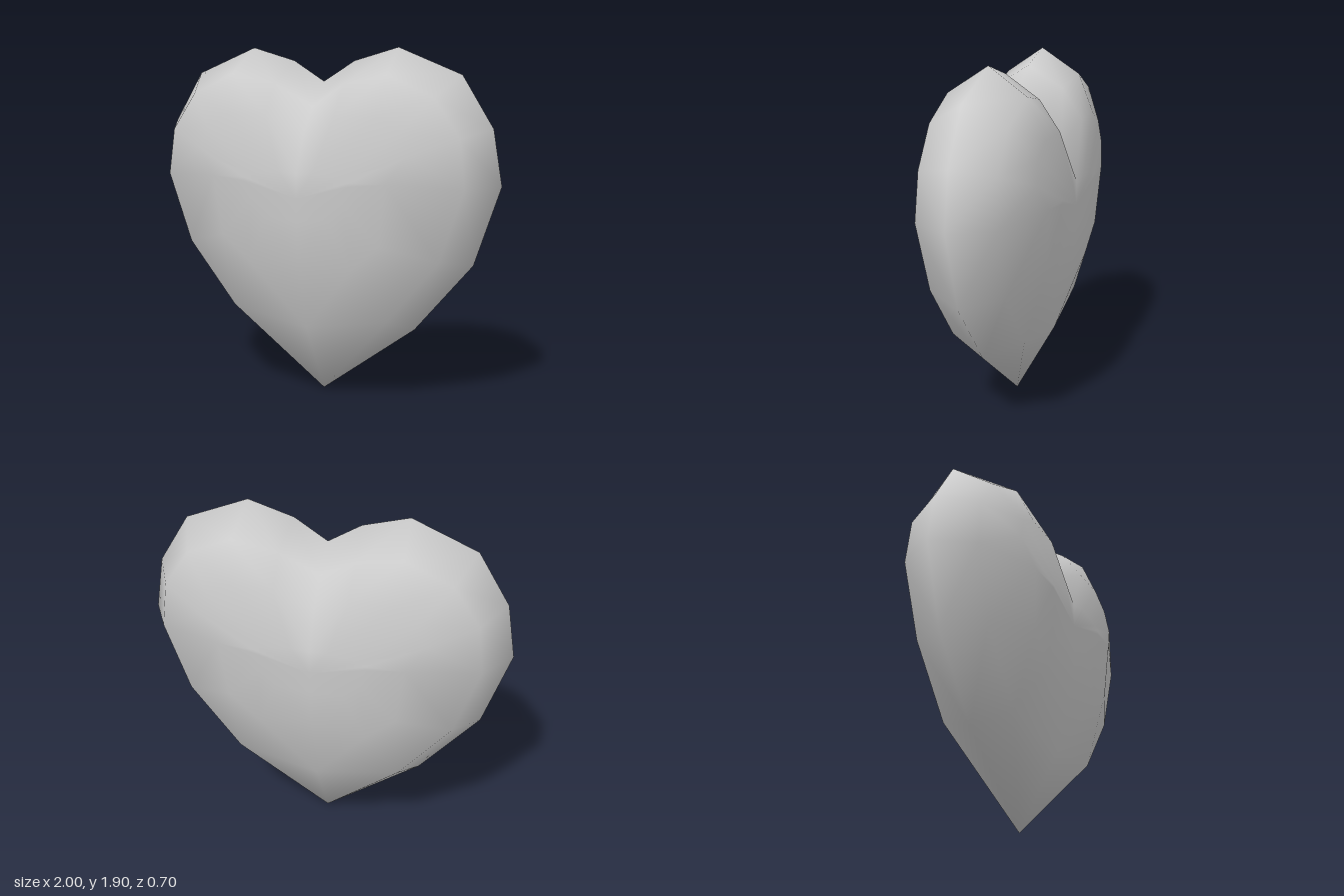
import * as THREE from 'three';

// Half-contours [x, y, z] on the +x side, from the notch round to the tip.
const outline = [
  [0, 1.72, 0], [0.18, 1.83, 0], [0.43, 1.9, 0], [0.78, 1.76, 0], [0.95, 1.49, 0],
  [1, 1.2, 0], [0.86, 0.78, 0], [0.54, 0.4, 0], [0, 0, 0],
];
const shoulder = [
  [0, 1.59, 0.14], [0.2, 1.71, 0.19], [0.45, 1.76, 0.21], [0.7, 1.65, 0.2], [0.84, 1.45, 0.2],
  [0.87, 1.2, 0.21], [0.74, 0.82, 0.2], [0.46, 0.48, 0.2], [0, 0.4, 0.22],
];
const cheek = [
  [0, 1.45, 0.25], [0.2, 1.55, 0.3], [0.43, 1.55, 0.3], [0.56, 1.48, 0.3], [0.6, 1.36, 0.31],
  [0.5, 1.22, 0.34], [0.46, 0.9, 0.32], [0.3, 0.76, 0.31], [0, 0.8, 0.32],
];
const crown = [
  [0, 1.25, 0.335], [0.1, 1.26, 0.345], [0.2, 1.25, 0.35], [0.27, 1.24, 0.35], [0.3, 1.22, 0.35],
  [0.3, 1.2, 0.35], [0.27, 1.1, 0.345], [0.18, 1.02, 0.34], [0, 1, 0.335],
];

// Mirror a half-contour across x = 0 into a closed loop of 16 points.
function closeLoop(half) {
  const left = half.slice(1, -1).reverse().map(([x, y, z]) => [-x, y, z]);
  return [...half, ...left];
}

function heartGeometry() {
  const N = 16;
  const positions = [];
  const indices = [];
  const add = (points, side) => {
    const start = positions.length / 3;
    for (const [x, y, z] of points) positions.push(x, y, z * side);
    return start;
  };
  const rim = add(closeLoop(outline), 1); // shared by both halves

  for (const side of [1, -1]) {
    const tri = (a, b, c) => indices.push(...(side > 0 ? [a, b, c] : [a, c, b]));
    const rings = [rim, ...[shoulder, cheek, crown].map((h) => add(closeLoop(h), side))];
    const centre = add([[0, 1.12, 0.335]], side);

    for (let i = 0; i < N; i++) {
      const j = (i + 1) % N;
      for (let r = 0; r < rings.length - 1; r++) {
        const a = rings[r] + i, b = rings[r] + j;
        const c = rings[r + 1] + j, d = rings[r + 1] + i;
        // Diagonals mirror across x = 0
        if (i < N / 2) {
          tri(a, d, b);
          tri(b, d, c);
        } else {
          tri(a, d, c);
          tri(a, c, b);
        }
      }
      tri(rings[3] + i, centre, rings[3] + j);
    }
  }

  const geometry = new THREE.BufferGeometry();
  geometry.setAttribute('position', new THREE.Float32BufferAttribute(positions, 3));
  geometry.setIndex(indices);
  geometry.computeVertexNormals();
  return geometry;
}

export function createModel() {
  const group = new THREE.Group();
  group.name = 'heart';
  const body = new THREE.Mesh(
    heartGeometry(),
    new THREE.MeshStandardMaterial({ color: 0xcccccc }),
  );
  body.name = 'heartBody';
  group.add(body);
  return group;
}
